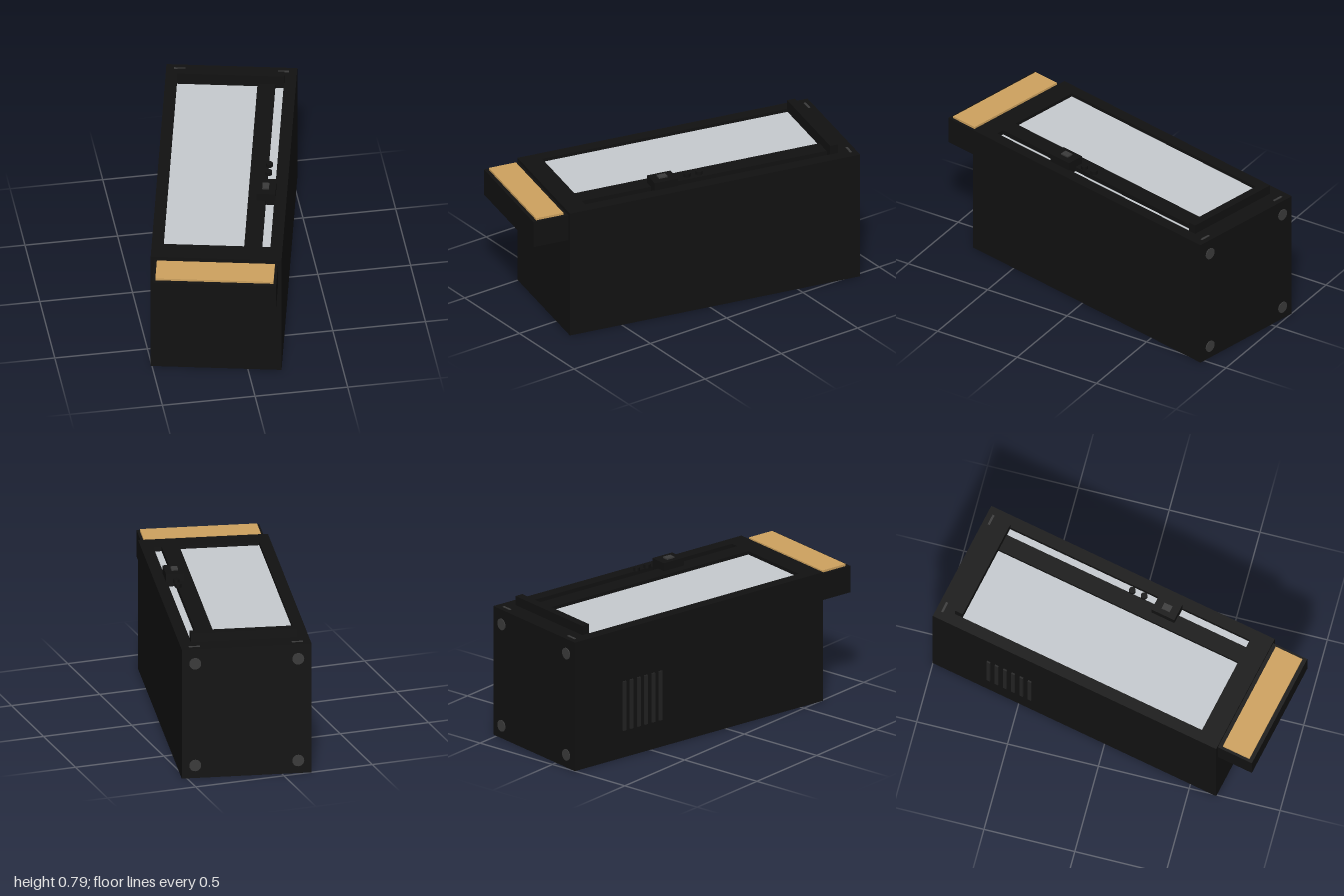
import * as THREE from 'three';

const mat = (name, color) => {
  const m = new THREE.MeshStandardMaterial({ color });
  m.name = name;
  return m;
};

export function createModel() {
  const black = mat('casing black', 0x111111);
  const slatGrey = mat('slat charcoal', 0x222222);
  const grey = mat('dark grey', 0x3a3a3a);
  const glass = mat('pale glass', 0xc5c9ce);
  const tan = mat('tan wood', 0xcda15e);

  const model = new THREE.Group();
  model.name = 'cabinet';

  // Box given by its ranges along x, y and z
  const box = (name, m, [x0, x1], [y0, y1], [z0, z1]) => {
    const mesh = new THREE.Mesh(new THREE.BoxGeometry(x1 - x0, y1 - y0, z1 - z0), m);
    mesh.position.set((x0 + x1) / 2, (y0 + y1) / 2, (z0 + z1) / 2);
    mesh.name = name;
    model.add(mesh);
    return mesh;
  };
  const cylinder = (name, m, r, h, x, y, z) => {
    const mesh = new THREE.Mesh(new THREE.CylinderGeometry(r, r, h, 20), m);
    mesh.position.set(x, y, z);
    mesh.name = name;
    model.add(mesh);
    return mesh;
  };
  const rect = (target, x0, x1, z0, z1) => {
    target.moveTo(x0, -z1);
    target.lineTo(x1, -z1);
    target.lineTo(x1, -z0);
    target.lineTo(x0, -z0);
    target.closePath();
    return target;
  };

  const W = 0.349, L = 0.844, TOP = 0.733, DECK = 0.705;
  const pane = [-0.286, 0.144], slot = [0.239, 0.284], span = [-0.7, 0.728];

  // Casing and its top frame with two openings
  box('casing', black, [-W, W], [0, DECK], [-L, L]);
  const frame = rect(new THREE.Shape(), -W, W, -L, L);
  for (const [a, b] of [pane, slot]) frame.holes.push(rect(new THREE.Path(), a, b, ...span));
  const frameGeo = new THREE.ExtrudeGeometry(frame, { depth: TOP - DECK, bevelEnabled: false });
  frameGeo.rotateX(-Math.PI / 2);
  const frameMesh = new THREE.Mesh(frameGeo, black);
  frameMesh.position.y = DECK;
  frameMesh.name = 'topFrame';
  model.add(frameMesh);

  // Recessed glass pane and slot strip
  box('glassPane', glass, pane, [DECK, 0.714], span);
  box('slotStrip', glass, slot, [DECK, 0.707], span);

  // Raised bar behind the glass, with two hinge plates
  box('rearBar', black, [-0.286, 0.286], [TOP, 0.785], [-0.743, -0.697]);
  for (const s of [-1, 1]) {
    box('hingePlate', grey, [s * 0.277 - 0.03, s * 0.277 + 0.03], [TOP, 0.736], [-0.815, -0.803]);
  }

  // Sliding carriage with button, and two small knobs above the slot
  box('carriage', black, [0.19, 0.29], [DECK, 0.778], [0.19, 0.325]);
  box('carriageButton', grey, [0.218, 0.254], [0.778, 0.786], [0.235, 0.283]);
  for (const z of [0.048, 0.118]) cylinder('knob', black, 0.018, 0.02, 0.245, 0.765, z);

  // Front ledge with a wooden top
  box('frontLedge', black, [-0.33, 0.33], [0.565, 0.715], [L, 1.047]);
  box('ledgeTop', tan, [-0.315, 0.315], [0.715, 0.727], [0.867, 1.025]);

  // Vent slats on the right side
  for (let i = 0; i < 6; i++) {
    const z = -0.51 + i * 0.049;
    box('ventSlat', slatGrey, [-W - 0.009, -W], [0.155, 0.435], [z - 0.01, z + 0.01]);
  }

  // Round feet on the back
  for (const x of [-0.277, 0.277]) {
    for (const y of [0.072, 0.65]) {
      cylinder('backFoot', grey, 0.032, 0.006, x, y, -L - 0.002).rotation.x = Math.PI / 2;
    }
  }

  // The cabinet stands turned on its base
  model.rotation.y = THREE.MathUtils.degToRad(-12);
  model.position.set(0.01, 0, -0.103);
  const root = new THREE.Group();
  root.name = 'model';
  root.add(model);
  return root;
}
